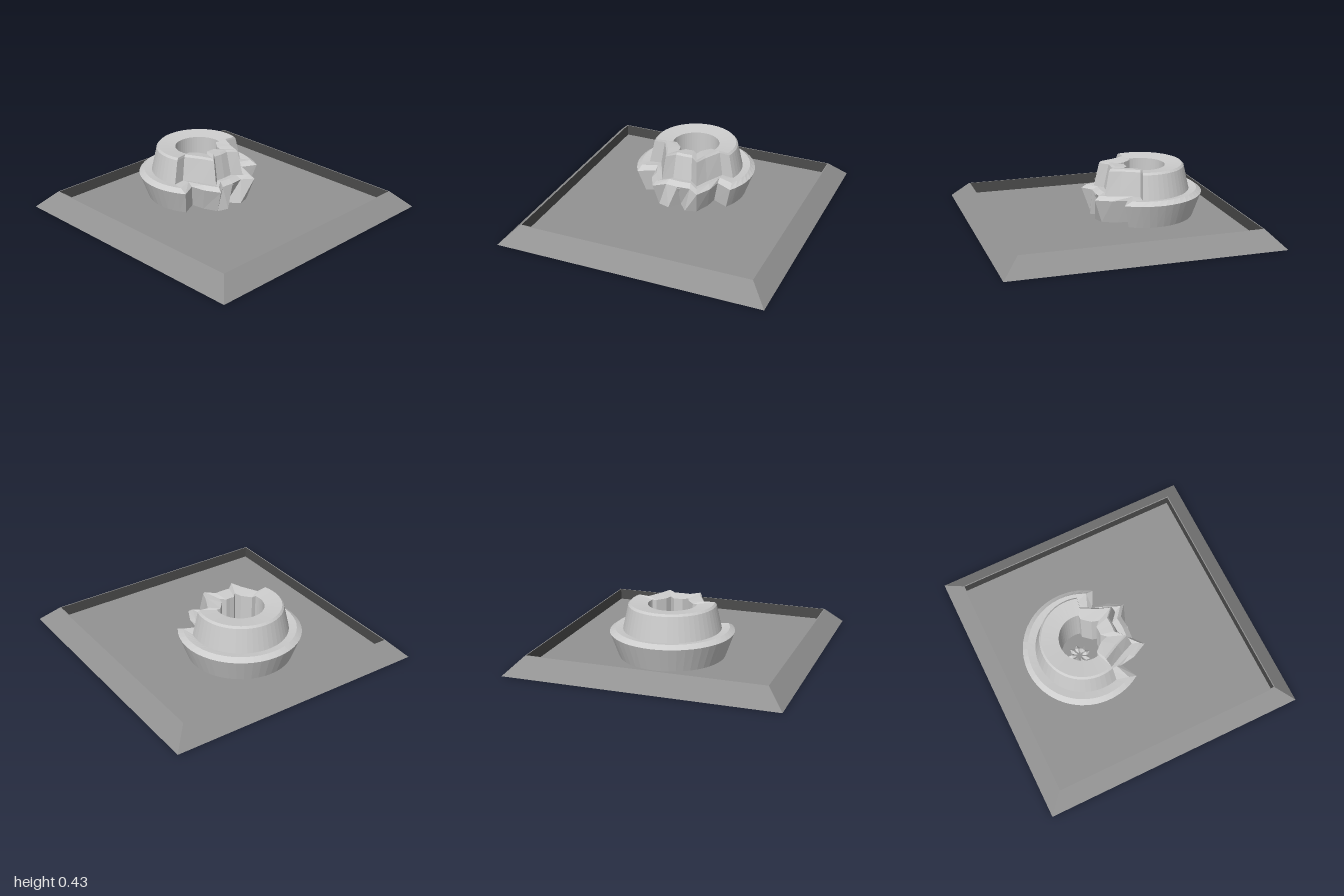
import * as THREE from 'three';

const makeMaterial = (color) => new THREE.MeshStandardMaterial({ color, flatShading: true, side: THREE.DoubleSide });
const stone = makeMaterial(0xcccccc);
const trayGrey = makeMaterial(0x929292);
const darkGrey = makeMaterial(0x4a4a4a);
const FLOOR = 0.042;
const CENTRE_Z = -0.27;

// Square ring of the tray: a four-sided lathe, with radii given as half widths
function squareLathe(name, profile, material) {
  const points = profile.map(([r, y]) => new THREE.Vector2(r * Math.SQRT2, y));
  const mesh = new THREE.Mesh(new THREE.LatheGeometry(points, 4, Math.PI / 4), material);
  mesh.name = name;
  return mesh;
}

// Tray: sloping outside with a narrow rim, dark inner walls, sunken floor
function makeTray() {
  const tray = new THREE.Group();
  tray.name = 'tray';
  tray.add(
    squareLathe('trayBody', [[0, 0], [1, 0], [0.875, 0.125], [0.868, 0.125]], trayGrey),
    squareLathe('trayInnerWall', [[0.868, 0.125], [0.865, FLOOR]], darkGrey),
    squareLathe('trayFloor', [[0.865, FLOOR], [0, FLOOR]], trayGrey),
  );
  return tray;
}

// Cone wall profile: radius, height, amount of front denting, side notch depth, angle where the round back ends
const wallProfile = [
  { r: 0.385, y: FLOOR, dent: 1, notch: 0.13, end: 58, foot: true },
  { r: 0.45, y: 0.22, dent: 1, notch: 0.135, end: 56 },
  { r: 0.412, y: 0.247, dent: 1, notch: 0.12, end: 62 },
  { r: 0.355, y: 0.238, dent: 0.9, notch: 0.09, end: 73 },
  { r: 0.316, y: 0.415, dent: 0.85, notch: 0.08, end: 73 },
  { r: 0.302, y: 0.43, dent: 0.85, notch: 0.08, end: 73 },
  { r: 0.175, y: 0.415, dent: 0.55, notch: 0.03, end: 75 },
  { r: 0.172, y: FLOOR, dent: 0.55, notch: 0.03, end: 75 },
];

// One half of a horizontal section, front to back: [degrees, radial offset]
function halfSection({ dent, notch, end, foot }) {
  const half = [
    [0, -0.09 * dent],
    [foot ? 10 : 15, foot ? 0 : -0.085 * dent],
    [23, 0],
    [38, -0.07 * dent],
    [end - 3, -notch],
    [end, 0],
  ];
  const steps = 16;
  for (let i = 1; i <= steps; i++) half.push([end + ((180 - end) * i) / steps, 0]);
  return half;
}

// Cone wall: mirrored sections joined into a surface
function makeConeWall() {
  const positions = [];
  const index = [];
  let n = 0;
  for (const row of wallProfile) {
    const half = halfSection(row);
    const mirrored = half.slice(1, -1).reverse().map(([a, d]) => [360 - a, d]);
    const section = [...half, ...mirrored];
    n = section.length;
    for (const [deg, offset] of section) {
      const a = THREE.MathUtils.degToRad(deg);
      const r = row.r + offset;
      positions.push(r * Math.sin(a), row.y, r * Math.cos(a));
    }
  }
  for (let j = 0; j < wallProfile.length - 1; j++) {
    for (let i = 0; i < n; i++) {
      const a = j * n + i, b = j * n + ((i + 1) % n);
      index.push(a, b, b + n, a, b + n, a + n);
    }
  }
  const geometry = new THREE.BufferGeometry();
  geometry.setAttribute('position', new THREE.Float32BufferAttribute(positions, 3));
  geometry.setIndex(index);
  geometry.computeVertexNormals();
  const wall = new THREE.Mesh(geometry, stone);
  wall.name = 'coneWall';
  wall.position.z = CENTRE_Z;
  return wall;
}

// Small pointed drop under the front of the ring
function makeFrontDrop() {
  const drop = new THREE.Mesh(new THREE.ConeGeometry(0.025, 0.05, 6).rotateX(Math.PI), stone);
  drop.name = 'frontDrop';
  drop.position.set(0, 0.185, 0.07);
  return drop;
}

// Small ring of pointed petals on the crater floor
function makeRosette() {
  const rosette = new THREE.Group();
  rosette.name = 'craterRosette';
  rosette.position.set(0, FLOOR + 0.025, -0.31);
  const petalGeometry = new THREE.OctahedronGeometry(0.03, 0).scale(0.8, 0.8, 1.1);
  for (let i = 0; i < 9; i++) {
    const a = (i / 9) * Math.PI * 2;
    const petal = new THREE.Mesh(petalGeometry, stone);
    petal.name = 'petal';
    petal.position.set(Math.sin(a) * 0.052, 0, Math.cos(a) * 0.052);
    petal.rotation.y = a;
    rosette.add(petal);
  }
  return rosette;
}

export function createModel() {
  const model = new THREE.Group();
  model.name = 'craterOnTray';
  model.add(makeTray(), makeConeWall(), makeFrontDrop(), makeRosette());
  return model;
}
